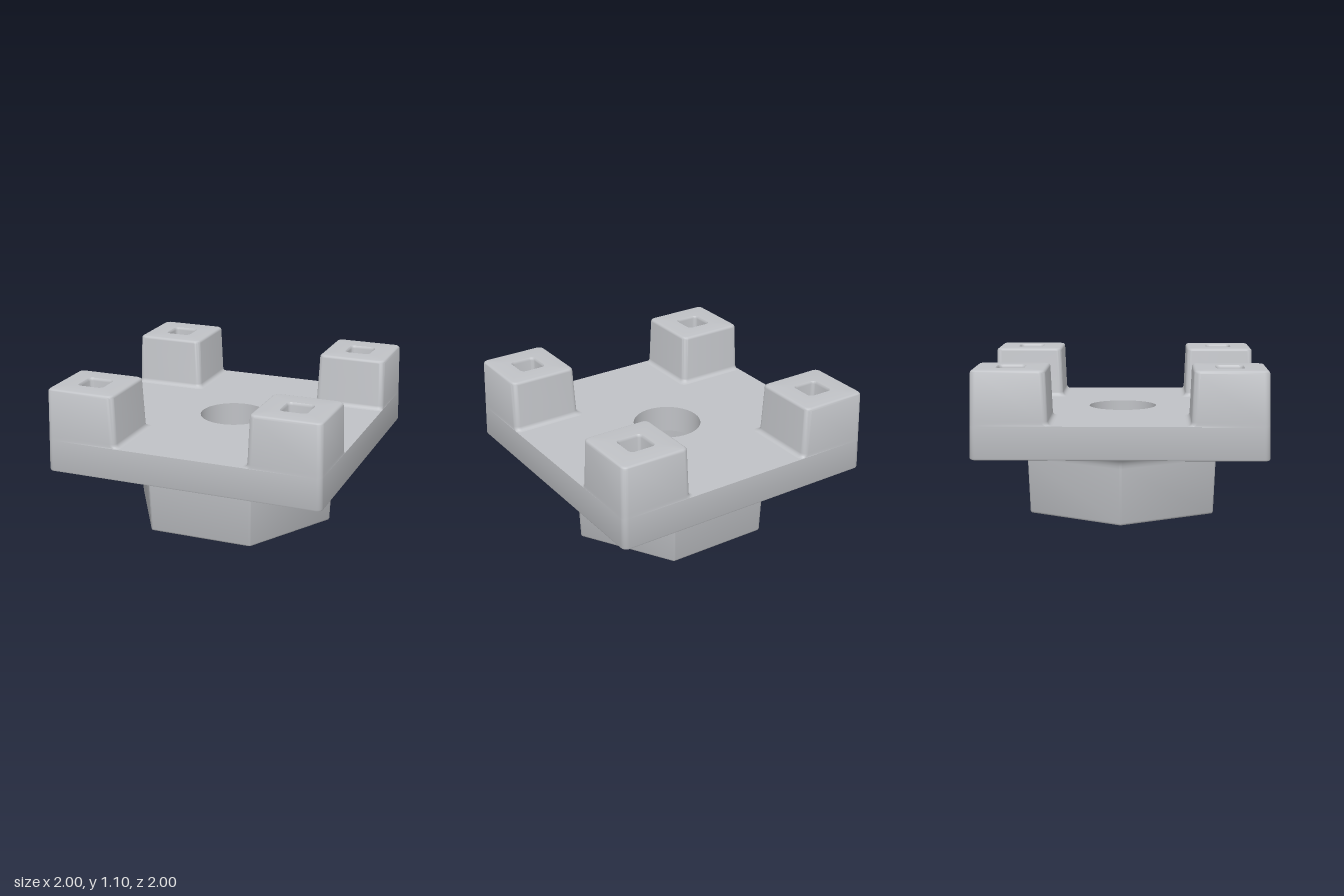
import * as THREE from 'three';
import { toCreasedNormals } from 'three/addons/utils/BufferGeometryUtils.js';

const ARC = 6; // steps in each rounded corner

// Horizontal n-sided outline with rounded corners, as a ring of points
function ring(n, apothem, r, y, cx = 0, cz = 0) {
  const points = [];
  const half = Math.PI / n;
  const reach = (apothem - r) / Math.cos(half);
  for (let i = 0; i < n; i++) {
    const t = (i + (n === 4 ? 0.5 : 0)) * 2 * half;
    for (let k = 0; k <= ARC; k++) {
      const a = t - half + (2 * half * k) / ARC;
      points.push(new THREE.Vector3(
        cx + reach * Math.cos(t) + r * Math.cos(a), y,
        cz + reach * Math.sin(t) + r * Math.sin(a)));
    }
  }
  return points;
}

// Skin joining successive rings; outward when the rings rise
function loft(rings) {
  const positions = [];
  const n = rings[0].length;
  for (let j = 0; j < rings.length - 1; j++) {
    for (let i = 0; i < n; i++) {
      const k = (i + 1) % n;
      const [a, b, c, d] = [rings[j][i], rings[j + 1][i], rings[j + 1][k], rings[j][k]];
      for (const p of [a, b, c, a, c, d]) positions.push(p.x, p.y, p.z);
    }
  }
  const geo = new THREE.BufferGeometry();
  geo.setAttribute('position', new THREE.Float32BufferAttribute(positions, 3));
  return toCreasedNormals(geo, 0.7);
}

const flat = (points) => points.map((p) => new THREE.Vector2(p.x, p.z));

// Flat horizontal face with one opening
function face(outline, opening, y, up) {
  const shape = new THREE.Shape(flat(outline));
  shape.holes.push(opening);
  return new THREE.ShapeGeometry(shape, 32)
    .rotateX(up ? -Math.PI / 2 : Math.PI / 2).translate(0, y, 0);
}

export function createModel() {
  const model = new THREE.Group();
  const grey = new THREE.MeshStandardMaterial({ color: 0xc0c2c6 });
  grey.name = 'light grey';
  const add = (name, geo, parent = model) => {
    const mesh = new THREE.Mesh(geo, grey);
    mesh.name = name;
    parent.add(mesh);
    return mesh;
  };

  const BASE = 0.5, DECK = 0.73, TOP = 1.1, CEILING = 0.53, BORE = 0.245;
  const outer = (y) => 1 - 0.012 * (y - BASE) / (TOP - BASE); // drafted sides
  const boreCircle = () => new THREE.Path().absarc(0, 0, BORE, 0, Math.PI * 2, true);

  // Square plate
  const plate = new THREE.Group();
  plate.name = 'plate';
  model.add(plate);
  const underEdge = ring(4, 0.985, 0.03, BASE);
  const deckEdge = ring(4, outer(DECK), 0.04, DECK);
  add('plateSides', loft([
    underEdge, ring(4, 0.996, 0.038, BASE + 0.005),
    ring(4, 1, 0.04, BASE + 0.015), deckEdge]), plate);
  add('plateTop', face(deckEdge, boreCircle(), DECK, true), plate);
  const flare = ring(6, 0.77, 0.04, BASE);
  add('plateUnderside', face(underEdge, new THREE.Path(flat(flare)), BASE, false), plate);

  // Round bore: the inside of an open cylinder
  const bore = new THREE.LatheGeometry(
    [new THREE.Vector2(BORE, DECK), new THREE.Vector2(BORE, CEILING)], 64);
  add('bore', bore);

  // Hexagonal socket: pocket wall, rim, outer wall and flared neck
  const pocketTop = ring(6, 0.5, 0.004, CEILING);
  const socket = [
    pocketTop, ring(6, 0.522, 0.004, 0.005), ring(6, 0.527, 0.004, 0),
    ring(6, 0.642, 0.01, 0), ring(6, 0.65, 0.015, 0.004), ring(6, 0.655, 0.02, 0.015)];
  for (let k = 0; k <= 8; k++) {
    const a = (k / 8) * Math.PI / 2;
    socket.push(ring(6, 0.67 + 0.1 * (1 - Math.cos(a)), 0.02 + 0.02 * k / 8, 0.4 + 0.1 * Math.sin(a)));
  }
  add('hexSocket', loft(socket));
  add('pocketCeiling', face(pocketTop, boreCircle(), CEILING, false));

  // Corner posts with blind square holes
  for (const sx of [-1, 1]) {
    for (const sz of [-1, 1]) {
      const rings = [];
      const section = (y, spread, inset, r) => {
        const out = outer(y) - inset;
        const inn = 0.475 + 0.015 * (y - DECK) / (TOP - DECK) - spread + inset;
        const c = (out + inn) / 2;
        rings.push(ring(4, (out - inn) / 2, r, y, sx * c, sz * c));
      };
      // fillet at the foot
      for (let k = 0; k <= 4; k++) {
        const a = (k / 4) * Math.PI / 2;
        section(DECK + 0.03 * (1 - Math.cos(a)), 0.03 * (1 - Math.sin(a)), 0, 0.04);
      }
      // rounded top edge
      for (let k = 0; k <= 4; k++) {
        const a = (k / 4) * Math.PI / 2;
        const inset = 0.02 * (1 - Math.cos(a));
        section(TOP - 0.02 + 0.02 * Math.sin(a), 0, inset, 0.04 - inset / 2);
      }
      // hole, from its lip down to the closed floor
      const hole = [[0.098, 0.035, TOP], [0.092, 0.03, TOP - 0.008], [0.09, 0.03, TOP - 0.02],
        [0.084, 0.025, DECK + 0.01], [0.001, 0.0005, DECK + 0.01]];
      for (const [a, r, y] of hole) rings.push(ring(4, a, r, y, sx * 0.738, sz * 0.738));
      add('cornerPost', loft(rings));
    }
  }
  // The bore is seen from within
  const index = bore.index.array;
  const normal = bore.attributes.normal, pos = bore.attributes.position;
  const [p, q, s] = [0, 1, 2].map((i) => new THREE.Vector3().fromBufferAttribute(pos, index[i]));
  const facing = q.clone().sub(p).cross(s.clone().sub(p));
  if (facing.x * p.x + facing.z * p.z > 0) {
    for (let i = 0; i < index.length; i += 3) [index[i], index[i + 1]] = [index[i + 1], index[i]];
  }
  for (let i = 0; i < pos.count; i++) normal.setXYZ(i, -pos.getX(i) / BORE, 0, -pos.getZ(i) / BORE);
  return model;
}
